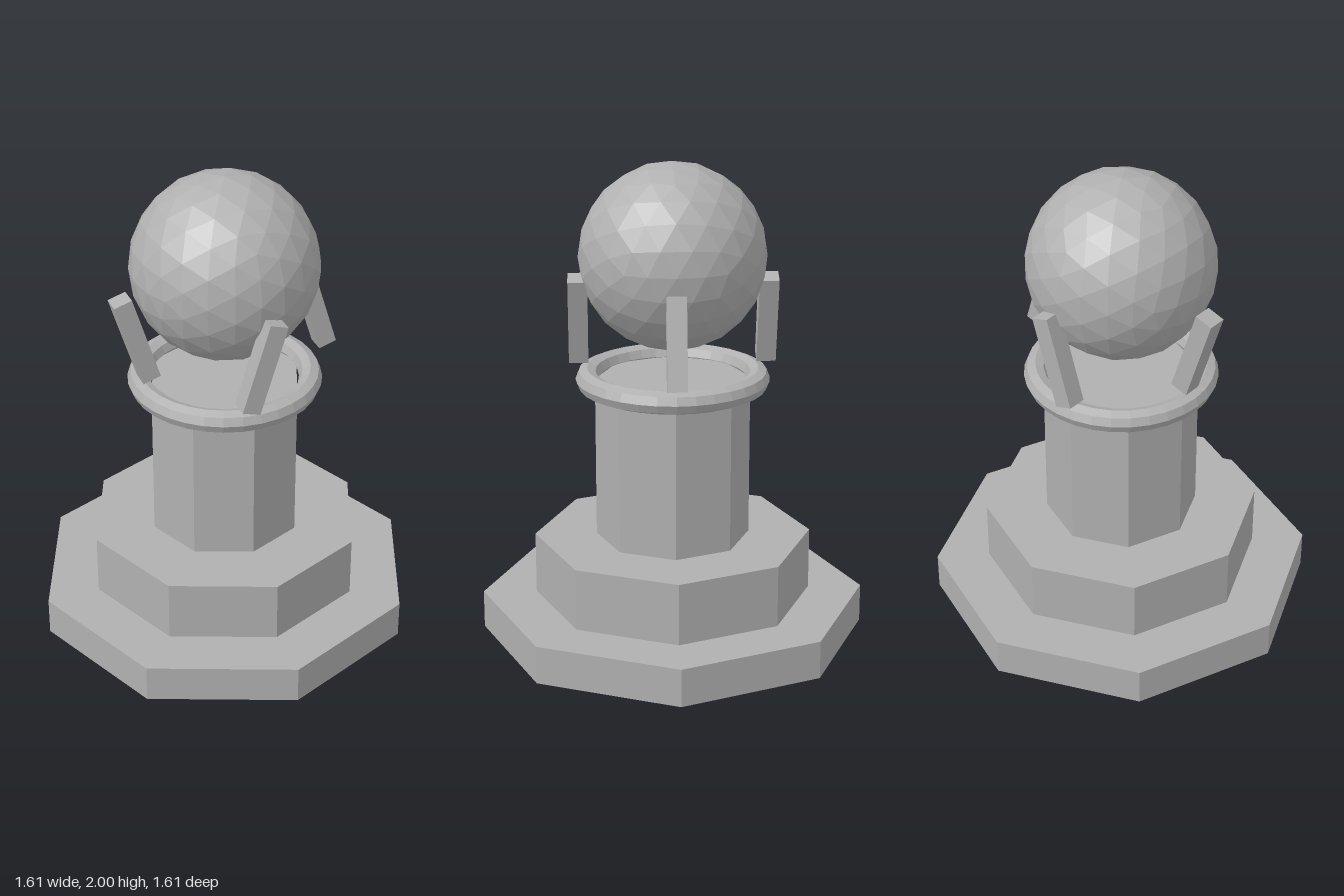
import * as THREE from 'three';

export function createModel() {
  const group = new THREE.Group();
  const stone = new THREE.MeshStandardMaterial({ color: 0xb0b0b0 });
  stone.name = 'stone grey';

  // Faceted look comes from unshared vertices with face normals
  const add = (name, geometry, x, y, z) => {
    const flat = geometry.index ? geometry.toNonIndexed() : geometry;
    flat.computeVertexNormals();
    const mesh = new THREE.Mesh(flat, stone);
    mesh.name = name;
    mesh.position.set(x, y, z);
    group.add(mesh);
    return mesh;
  };

  // Stacked octagonal plinth and column
  const tiers = [
    ['base', 0.805, 0, 0.16],
    ['step', 0.58, 0.16, 0.42],
    ['column', 0.321, 0.42, 1.1],
  ];
  for (const [name, radius, bottom, top] of tiers) {
    add(name, new THREE.CylinderGeometry(radius, radius, top - bottom, 8), 0, (bottom + top) / 2, 0);
  }

  // Rounded collar at the column top
  const collar = new THREE.TorusGeometry(0.353, 0.048, 8, 32).rotateX(Math.PI / 2);
  add('collar', collar, 0, 1.102, 0);

  // Floating faceted orb
  add('orb', new THREE.IcosahedronGeometry(0.385, 3), 0, 1.615, 0);

  // Four leaning prongs: side pair tilts one way, front and back pair the other
  const prongs = [
    ['leftProng', 0.387, 0, 0.3],
    ['rightProng', -0.387, 0, 0.3],
    ['frontProng', 0, 0.387, -0.3],
    ['backProng', 0, -0.387, -0.3],
  ];
  for (const [name, x, z, tilt] of prongs) {
    add(name, new THREE.BoxGeometry(0.078, 0.386, 0.08), x, 1.358, z).rotation.z = tilt;
  }

  return group;
}
